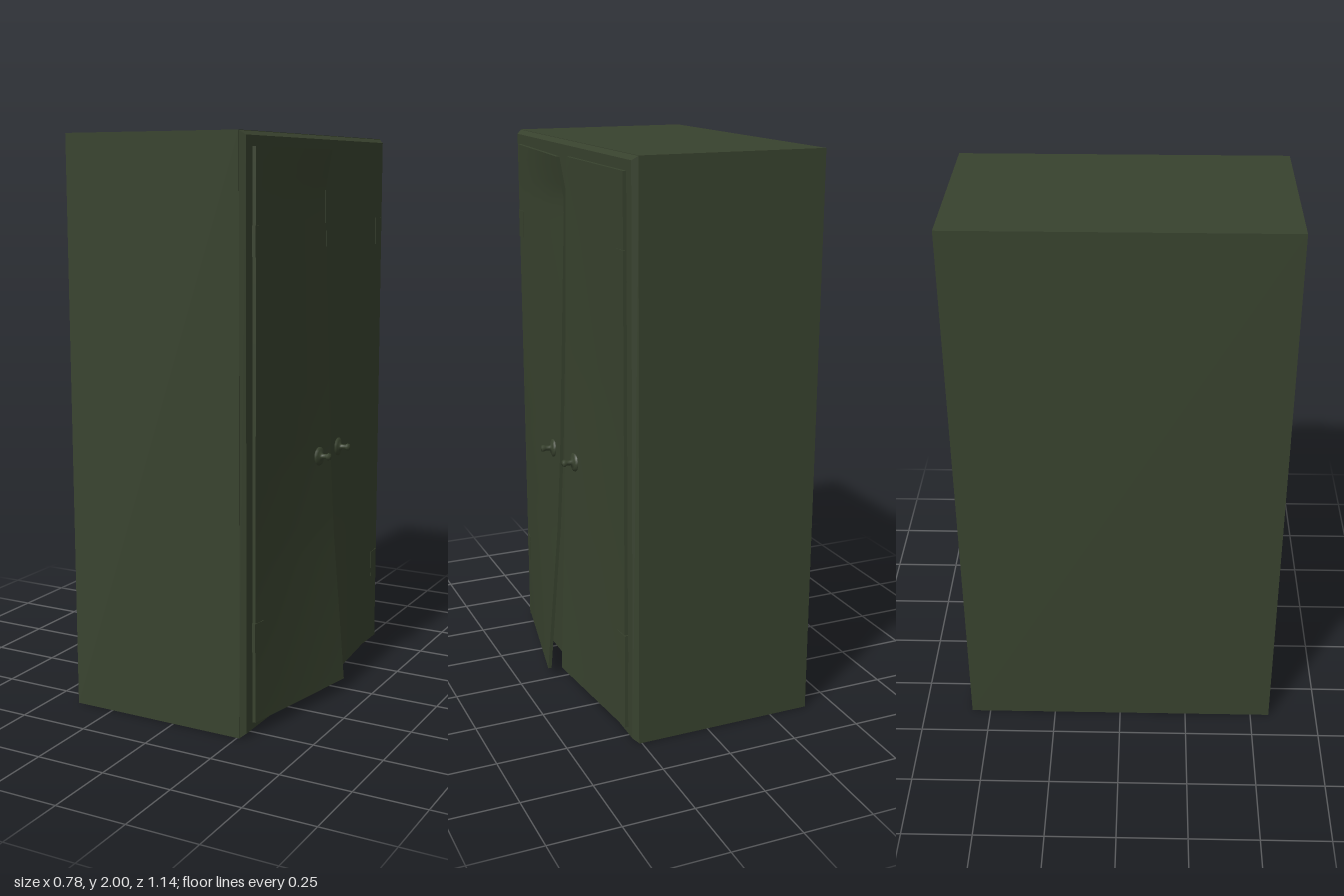
import * as THREE from 'three';

const green = new THREE.MeshStandardMaterial({ color: 0x38422e });
green.name = 'olive green paint';

const FACE = 0.29; // outer face of a closed door
const BOTTOM = 0.04, TOP = 1.95;

// Warp of each door's free edge: [height, x of the outer face]
const DOORS = [
  { name: 'leftDoor', hinge: 0.512, free: 0.004, warp: [[0.04, 0.39], [0.6, 0.342], [0.9, 0.326], [1.8, 0.295], [1.95, 0.322]],
    knobZ: 0.09, plateIn: 0.468 },
  { name: 'rightDoor', hinge: -0.515, free: -0.008, warp: [[0.04, 0.34], [0.6, 0.32], [1.2, 0.304], [1.95, 0.29]],
    knobZ: -0.098, plateIn: -0.462 },
];

// Outer face of a bent door at a given height and depth
function faceX(door, y, z) {
  const w = door.warp;
  let i = 0;
  while (i < w.length - 2 && y > w[i + 1][0]) i++;
  const k = (y - w[i][0]) / (w[i + 1][0] - w[i][0]);
  const edge = THREE.MathUtils.lerp(w[i][1], w[i + 1][1], k);
  const t = (z - door.hinge) / (door.free - door.hinge);
  return FACE + (edge - FACE) * t;
}

function add(parent, geometry, name) {
  const mesh = new THREE.Mesh(geometry, green);
  mesh.name = name;
  parent.add(mesh);
  return mesh;
}

// Panel following the door's warp, `out` proud of its face
function bentPanel(door, z0, z1, y0, y1, thick, out, rows) {
  const g = new THREE.BoxGeometry(thick, y1 - y0, Math.abs(z1 - z0), 1, rows, 4);
  g.translate(0, (y0 + y1) / 2, (z0 + z1) / 2);
  const p = g.attributes.position;
  for (let i = 0; i < p.count; i++) {
    const x = faceX(door, p.getY(i), p.getZ(i)) + out - thick / 2;
    p.setX(i, p.getX(i) + x);
  }
  g.computeVertexNormals();
  return g;
}

export function createModel() {
  const cabinet = new THREE.Group();
  cabinet.name = 'cabinet';

  // Carcass
  const body = add(cabinet, new THREE.BoxGeometry(0.655, 2, 1.14), 'body');
  body.position.set(-0.0675, 1, 0);

  // Bevelled front rim
  const rim = new THREE.BoxGeometry(0.02, 2, 1.14).toNonIndexed();
  const p = rim.attributes.position;
  for (let i = 0; i < p.count; i++) {
    if (p.getX(i) > 0) {
      p.setY(i, p.getY(i) - Math.sign(p.getY(i)) * 0.015);
      p.setZ(i, p.getZ(i) - Math.sign(p.getZ(i)) * 0.015);
    }
  }
  rim.computeVertexNormals();
  add(cabinet, rim, 'frontFrame').position.set(0.268, 1, 0);

  // Knob: round rosette, thin neck and a small head
  const knobProfile = [[0, -0.004], [0.033, -0.004], [0.033, 0.004], [0.024, 0.009], [0.012, 0.011],
    [0.009, 0.018], [0.009, 0.032], [0.013, 0.038], [0.011, 0.046], [0, 0.048]]
    .map(([r, h]) => new THREE.Vector2(r, h));
  const knobGeometry = new THREE.LatheGeometry(knobProfile, 16);

  for (const door of DOORS) {
    const group = new THREE.Group();
    group.name = door.name;
    cabinet.add(group);

    add(group, bentPanel(door, door.hinge, door.free, BOTTOM, TOP, 0.013, 0, 40), 'doorPanel');

    // Hinge leaves wrapping the outer edge
    const outer = door.hinge + Math.sign(door.hinge) * 0.006;
    for (const y of [0.34, 1.655]) {
      add(group, bentPanel(door, outer, door.plateIn, y - 0.05, y + 0.05, 0.012, 0.002, 4), 'hingeLeaf');
    }

    // Knob set square to the bent face
    const y = 0.885, z = door.knobZ, e = 0.02;
    const normal = new THREE.Vector3(1,
      (faceX(door, y - e, z) - faceX(door, y + e, z)) / (2 * e),
      (faceX(door, y, z - e) - faceX(door, y, z + e)) / (2 * e)).normalize();
    const knob = add(group, knobGeometry, 'knob');
    knob.position.set(faceX(door, y, z), y, z);
    knob.quaternion.setFromUnitVectors(new THREE.Vector3(0, 1, 0), normal);
  }
  return cabinet;
}
